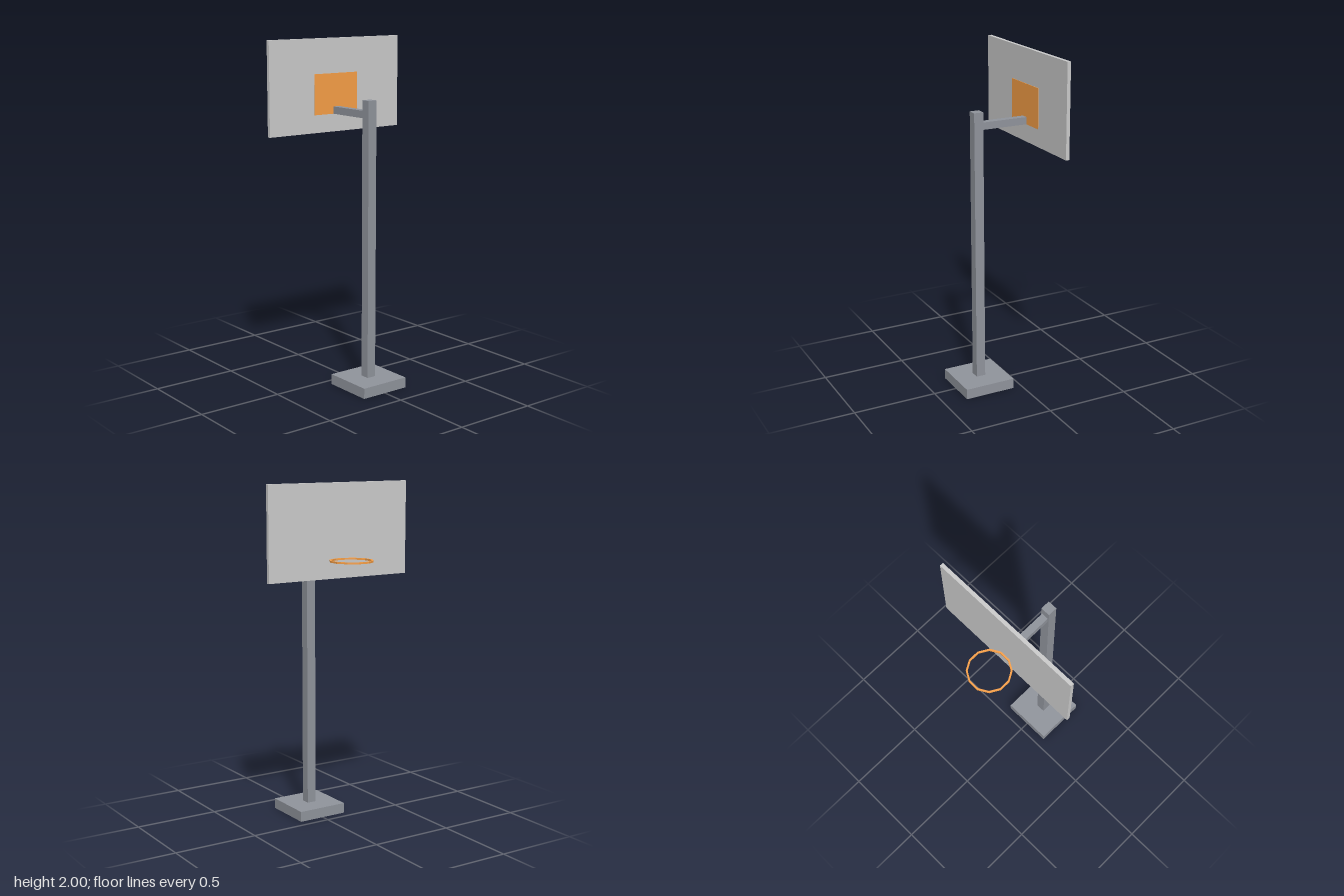
import * as THREE from 'three';

const material = (color) => new THREE.MeshStandardMaterial({ color, flatShading: true });

export function createModel() {
  const group = new THREE.Group();
  const steel = material(0x90949c);
  const orange = material(0xf8a047);
  const grey = material(0xcccccc);

  // Box given by its extents on each axis
  const box = (name, mat, [x0, x1], [y0, y1], [z0, z1]) => {
    const mesh = new THREE.Mesh(new THREE.BoxGeometry(x1 - x0, y1 - y0, z1 - z0), mat);
    mesh.position.set((x0 + x1) / 2, (y0 + y1) / 2, (z0 + z1) / 2);
    mesh.name = name;
    group.add(mesh);
  };

  // Stand
  box('base', steel, [-0.153, 0.153], [0, 0.061], [0.054, 0.361]);
  box('pole', steel, [-0.028, 0.028], [0.061, 1.669], [0.179, 0.235]);
  box('supportArm', steel, [-0.021, 0.021], [1.567, 1.609], [-0.1, 0.18]);

  // Board with its coloured target panel
  box('backboard', grey, [-0.46, 0.46], [1.464, 2], [-0.121, -0.1]);
  box('targetPanel', orange, [-0.153, 0.153], [1.567, 1.8], [-0.1, -0.097]);

  // Twelve-sided hoop with a square section
  const inner = 0.114, outer = 0.124, half = 0.005;
  const profile = [
    [inner, half], [inner, -half], [outer, -half], [outer, half], [inner, half],
  ].map(([r, y]) => new THREE.Vector2(r, y));
  const hoop = new THREE.Mesh(new THREE.LatheGeometry(profile, 12, Math.PI / 12), orange);
  hoop.name = 'hoop';
  hoop.position.set(0, 1.573, -0.241);
  group.add(hoop);

  return group;
}
